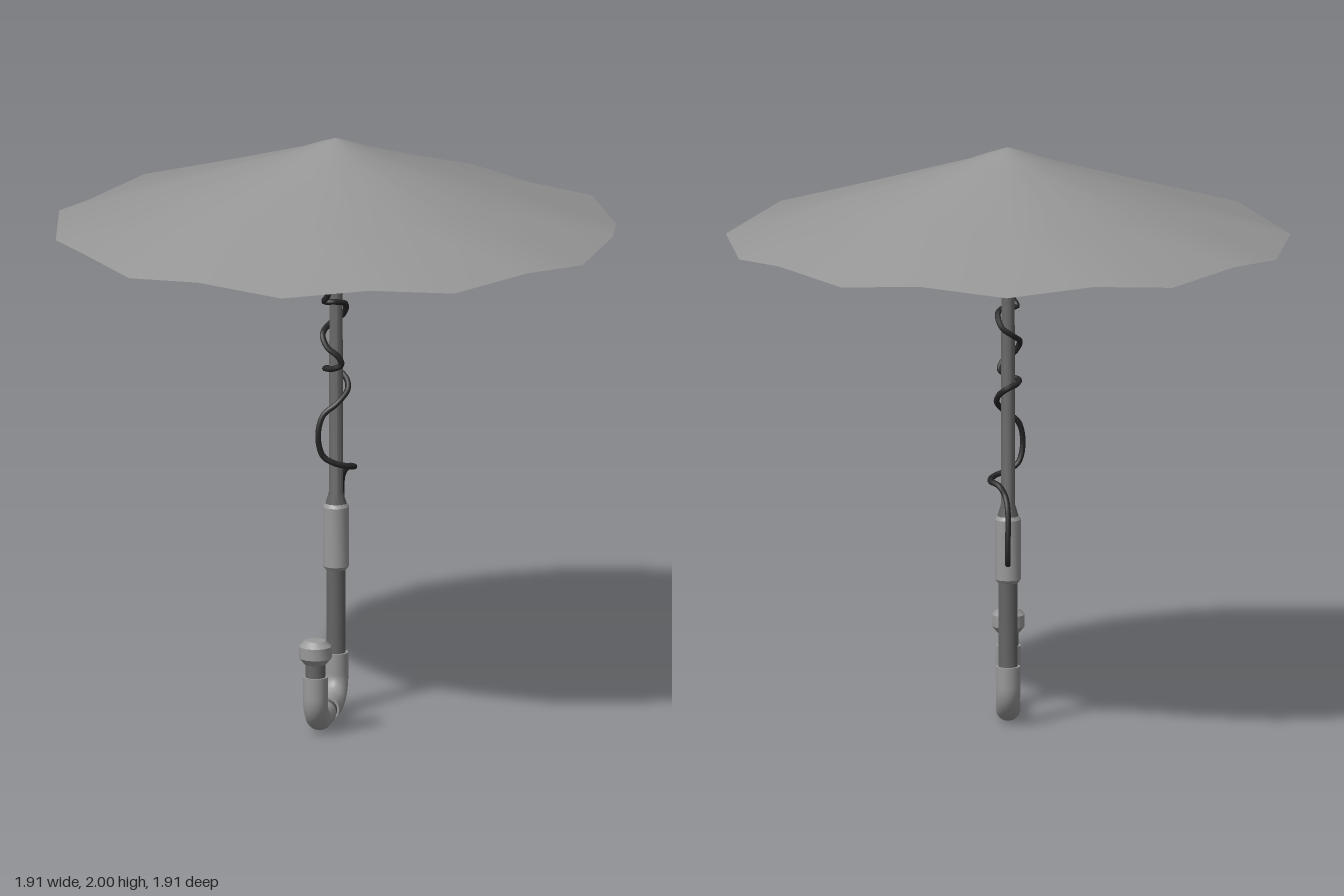
import * as THREE from 'three';
import { toCreasedNormals } from 'three/addons/utils/BufferGeometryUtils.js';

const paint = (color, side = THREE.FrontSide) => new THREE.MeshStandardMaterial({ color, side });
const fabric = paint(0x969696, THREE.DoubleSide);
const casing = paint(0x999999);
const metal = paint(0x646464, THREE.DoubleSide);
const rubber = paint(0x262626);
const v = (x, y, z) => new THREE.Vector3(x, y, z);

function add(parent, name, geometry, material) {
  const mesh = new THREE.Mesh(geometry, material);
  mesh.name = name;
  parent.add(mesh);
  return mesh;
}

// Turned part from [radius, height] pairs, listed bottom to top
function turned(points, sides = 20) {
  const profile = points.map(([r, y]) => new THREE.Vector2(r, y));
  return toCreasedNormals(new THREE.LatheGeometry(profile, sides), 0.5);
}

// Thin straight rod between two points
function rod(a, b, radius) {
  return new THREE.TubeGeometry(new THREE.LineCurve3(a, b), 1, radius, 6);
}

// Shallow cone whose rim alternates between high and low corners
function canopyGeometry() {
  const sides = 20;
  const rings = [[0, 1.997, 1.997], [0.14, 1.949, 1.949], [0.55, 1.822, 1.812], [0.957, 1.7, 1.67]];
  const positions = [];
  const corner = (ring, i) => {
    const [r, high, low] = rings[ring];
    const a = (i / sides) * Math.PI * 2;
    return [r * Math.sin(a), i % 2 ? high : low, r * Math.cos(a)];
  };
  for (let k = 0; k < rings.length - 1; k++) {
    for (let i = 0; i < sides; i++) {
      const a = corner(k, i), b = corner(k + 1, i), c = corner(k + 1, i + 1), d = corner(k, i + 1);
      positions.push(...a, ...b, ...c);
      if (k > 0) positions.push(...a, ...c, ...d);
    }
  }
  const geometry = new THREE.BufferGeometry();
  geometry.setAttribute('position', new THREE.Float32BufferAttribute(positions, 3));
  return toCreasedNormals(geometry, 0.5);
}

// Pipe bend: drops from (y 0.2) and turns along z towards endZ
function elbow(z, endZ) {
  const bend = 0.09 * Math.sign(endZ - z), low = 0.042, top = low + 0.09;
  const path = new THREE.CurvePath();
  const k = 0.552;
  path.add(new THREE.LineCurve3(v(0, 0.205, z), v(0, top, z)));
  path.add(new THREE.CubicBezierCurve3(v(0, top, z), v(0, top - 0.09 * k, z),
    v(0, low, z + bend * (1 - k)), v(0, low, z + bend)));
  path.add(new THREE.LineCurve3(v(0, low, z + bend), v(0, low, endZ)));
  return new THREE.TubeGeometry(path, 28, 0.042, 18);
}

// Flat disc closing an elbow around its neighbour
function addCollar(parent, position, facing) {
  const collar = add(parent, 'elbowEnd', new THREE.CircleGeometry(0.042, 18), casing);
  collar.position.copy(position);
  collar.lookAt(position.clone().add(facing));
}

export function createModel() {
  const model = new THREE.Group();
  model.name = 'umbrella';

  // Canopy with a small crown piece over its centre
  add(model, 'canopy', canopyGeometry(), fabric);
  add(model, 'crown', turned([[0.14, 1.951], [0.07, 1.977], [0, 2]]), fabric);

  // Ribs and their stays around the shaft
  const frame = new THREE.Group();
  frame.name = 'frame';
  model.add(frame);
  for (let i = 0; i < 8; i++) {
    const arm = new THREE.Group();
    arm.name = 'ribArm';
    arm.rotation.y = (i * Math.PI) / 4 + 0.16;
    add(arm, 'rib', rod(v(0, 1.835, 0.03), v(0, 1.73, 0.42), 0.005), metal);
    add(arm, 'stay', rod(v(0, 1.6, 0.026), v(0, 1.79, 0.19), 0.006), metal);
    frame.add(arm);
  }

  // Shaft with hub and sliding runner
  add(model, 'shaft', turned([[0, 0.7], [0.036, 0.7], [0.036, 0.725], [0.024, 0.765], [0.022, 1.88], [0, 1.88]]), metal);
  add(model, 'hub', turned([[0, 1.74], [0.034, 1.74], [0.042, 1.76], [0.042, 1.84], [0.03, 1.87], [0, 1.87]], 16), metal);
  add(model, 'runner', turned([[0.022, 1.51], [0.034, 1.56], [0.034, 1.61], [0.027, 1.63], [0.027, 1.74]], 16), metal);

  // Handle
  const handle = new THREE.Group();
  handle.name = 'handle';
  model.add(handle);
  add(handle, 'grip', turned([[0, 0.495], [0.036, 0.495], [0.044, 0.507], [0.044, 0.713], [0.037, 0.725], [0, 0.725]]), casing);
  add(handle, 'lowerTube', turned([[0.033, 0.19], [0.033, 0.5]]), metal);
  add(handle, 'rearElbow', elbow(0, 0.155), casing);
  add(handle, 'frontElbow', elbow(0.36, 0.205), casing);
  const joint = add(handle, 'elbowJoint', new THREE.CylinderGeometry(0.035, 0.035, 0.08, 18), metal);
  joint.rotation.x = Math.PI / 2;
  joint.position.set(0, 0.042, 0.18);
  addCollar(handle, v(0, 0.205, 0), v(0, 1, 0));
  addCollar(handle, v(0, 0.205, 0.36), v(0, 1, 0));
  addCollar(handle, v(0, 0.042, 0.155), v(0, 0, 1));
  addCollar(handle, v(0, 0.042, 0.205), v(0, 0, -1));

  // Knob at the tip of the hook
  const neck = add(handle, 'knobNeck', turned([[0.034, 0.19], [0.034, 0.27]]), metal);
  const knob = add(handle, 'knob', turned([[0, 0.25], [0.038, 0.25], [0.056, 0.272], [0.056, 0.312], [0.036, 0.332], [0, 0.335]], 14), casing);
  neck.position.z = knob.position.z = 0.36;

  // Cable winding down the shaft and into the back of the grip
  const cablePath = [
    [0, 1.585, 0.02], [0, 1.57, 0.05], [-0.005, 1.52, 0.074], [-0.015, 1.465, 0.068],
    [-0.03, 1.44, 0.055], [0.005, 1.438, 0.045], [0.034, 1.425, 0.01], [0.02, 1.38, -0.028],
    [-0.02, 1.35, -0.022], [-0.04, 1.32, 0.03], [-0.02, 1.28, 0.052], [0.018, 1.25, 0.055],
    [0.028, 1.22, 0.047], [0, 1.203, 0.04], [-0.036, 1.195, 0.01], [-0.03, 1.187, -0.03],
    [0, 1.175, -0.05], [0.03, 1.15, -0.035], [0.038, 1.12, -0.01], [0.01, 1.08, 0.03],
    [-0.035, 1.04, 0.048], [-0.05, 0.97, 0.06], [-0.035, 0.9, 0.052], [0, 0.875, 0.043],
    [0.045, 0.86, 0.02], [0.06, 0.85, -0.02], [0.03, 0.84, -0.06], [0.01, 0.81, -0.075],
    [0, 0.76, -0.1], [0, 0.65, -0.116], [0, 0.595, -0.112], [0, 0.575, -0.095],
    [0, 0.61, -0.078], [0, 0.625, -0.035],
  ].map((p) => v(...p));
  add(model, 'cable', new THREE.TubeGeometry(new THREE.CatmullRomCurve3(cablePath), 260, 0.01, 8), rubber);

  return model;
}
